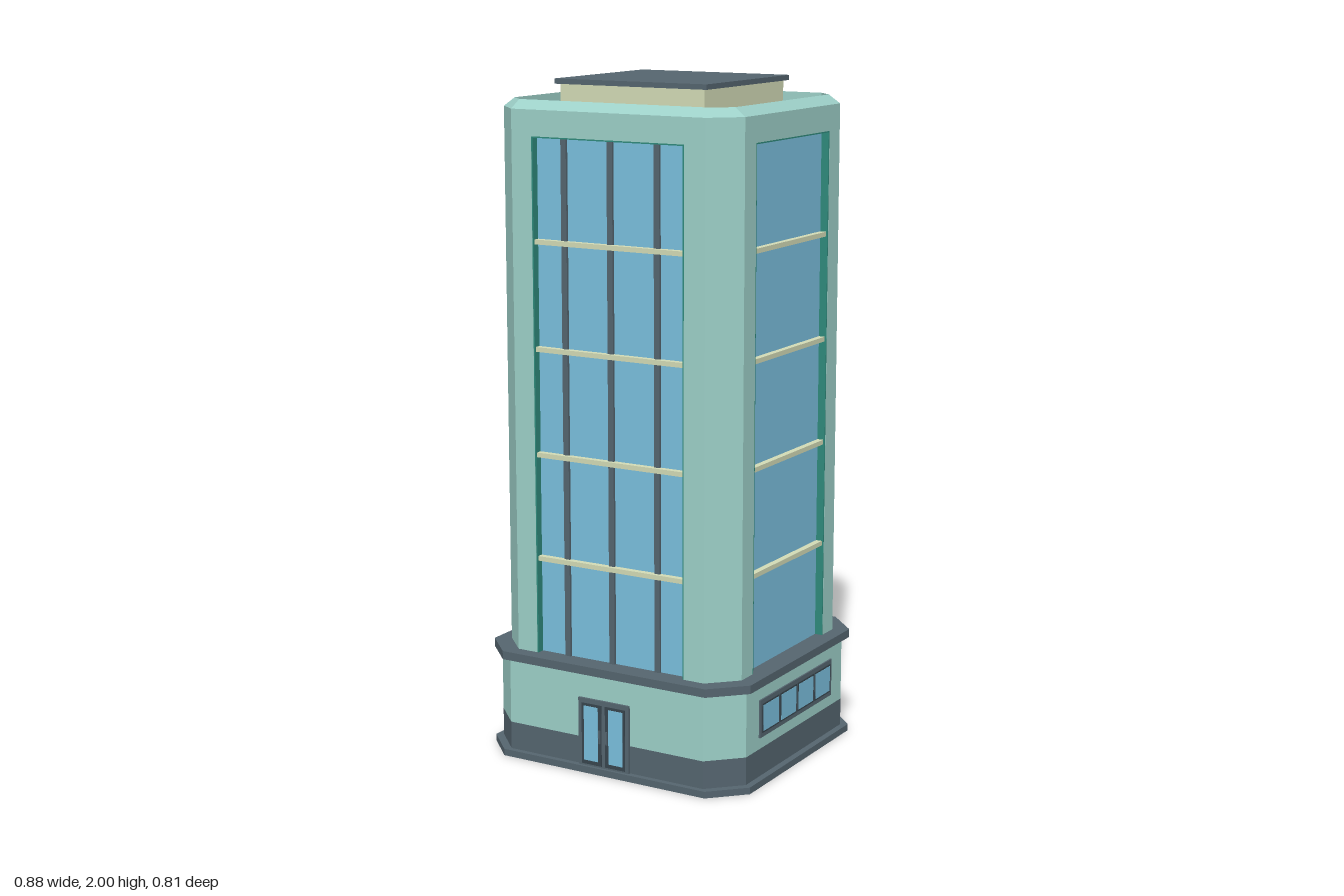
import * as THREE from 'three';

const mat = (name, color) => {
  const m = new THREE.MeshStandardMaterial({ color });
  m.name = name;
  return m;
};

// Chamfered rectangle, counter-clockwise from above; returns [x, z] pairs
const octagon = (hx, hz, c) => [
  [hx, hz - c], [hx, -hz + c], [hx - c, -hz], [-hx + c, -hz],
  [-hx, -hz + c], [-hx, hz - c], [-hx + c, hz], [hx - c, hz],
];

// Flat-sided loft through chamfered rings [hx, hz, chamfer, y]
function loft(rings, capTop = true, capBottom = true) {
  const pos = [];
  const pts = rings.map(([hx, hz, c, y]) => octagon(hx, hz, c).map(([x, z]) => [x, y, z]));
  const tri = (a, b, c) => pos.push(...a, ...b, ...c);
  for (let r = 0; r < pts.length - 1; r++) {
    const a = pts[r], b = pts[r + 1];
    for (let i = 0; i < 8; i++) {
      const j = (i + 1) % 8;
      tri(a[i], a[j], b[j]);
      tri(a[i], b[j], b[i]);
    }
  }
  const first = pts[0], last = pts[pts.length - 1];
  for (let i = 1; i < 7; i++) {
    if (capTop) tri(last[0], last[i], last[i + 1]);
    if (capBottom) tri(first[0], first[i + 1], first[i]);
  }
  const g = new THREE.BufferGeometry();
  g.setAttribute('position', new THREE.Float32BufferAttribute(pos, 3));
  g.computeVertexNormals();
  return g;
}

export function createModel() {
  const wall = mat('pale teal wall', 0x9dd0c8);
  const dark = mat('slate trim', 0x55656f);
  const glass = mat('blue glass', 0x7abfdd);
  const green = mat('deep green recess', 0x2f8a7c);
  const cream = mat('cream', 0xd3dbb6);
  const frameDark = mat('dark frame', 0x38454d);

  const model = new THREE.Group();
  model.name = 'officeTower';
  const add = (parent, name, geometry, material) => {
    const m = new THREE.Mesh(geometry, material);
    m.name = name;
    parent.add(m);
    return m;
  };
  // Box given by its centre and size
  const box = (parent, name, material, [w, h, d], [x, y, z]) =>
    add(parent, name, new THREE.BoxGeometry(w, h, d), material).position.set(x, y, z);
  const slab = (name, material, hx, hz, c, y0, y1) =>
    add(model, name, loft([[hx, hz, c, y0], [hx, hz, c, y1]]), material);

  // Podium
  slab('baseSlab', dark, 0.44, 0.407, 0.095, 0, 0.02);
  slab('plinthBand', dark, 0.42, 0.39, 0.09, 0.02, 0.103);
  slab('podiumWall', wall, 0.42, 0.39, 0.09, 0.103, 0.3);
  slab('podiumCornice', dark, 0.44, 0.407, 0.095, 0.3, 0.325);

  // Tower shaft with a shallow recess on each face
  const HX = 0.396, HZ = 0.364, C = 0.079, DEPTH = 0.03;
  const Y0 = 0.325, Y1 = 1.845, FW = 0.25, SW = 0.22;
  const quarter = [
    [HX - DEPTH, SW], [HX, SW], [HX, HZ - C], [HX - C, HZ], [FW, HZ], [FW, HZ - DEPTH],
  ];
  const outline = [];
  for (const [sx, sz] of [[1, 1], [-1, 1], [-1, -1], [1, -1]]) {
    const q = quarter.map(([x, z]) => new THREE.Vector2(x * sx, z * sz));
    outline.push(...(sx * sz > 0 ? q : q.reverse()));
  }
  const shaft = new THREE.ExtrudeGeometry(new THREE.Shape(outline), { depth: Y1 - Y0, bevelEnabled: false });
  shaft.rotateX(-Math.PI / 2).translate(0, Y0, 0);
  add(model, 'towerShaft', shaft, wall);

  // Crown with sloped parapet and sunken roof
  add(model, 'parapetCrown', loft([
    [HX, HZ, C, Y1], [HX, HZ, C, 1.92], [0.362, 0.329, 0.05, 1.945], [0.361, 0.328, 0.05, 1.88],
  ], false), wall);
  slab('roofDeck', dark, 0.361, 0.328, 0.05, 1.88, 1.892);

  // Roof house
  box(model, 'roofHouse', cream, [0.474, 0.097, 0.462], [0, 1.9365, 0]);
  box(model, 'roofHouseCap', dark, [0.5, 0.015, 0.482], [0, 1.9925, 0]);

  // Glazed recess, built facing +z then turned to its side
  function curtainWall(name, half, face, turn, verticals) {
    const g = new THREE.Group();
    g.name = name;
    const back = face - DEPTH, h = Y1 - Y0, mid = (Y0 + Y1) / 2;
    box(g, 'glazing', glass, [half * 2, h, 0.006], [0, mid, back + 0.003]);
    for (const s of [-1, 1])
      box(g, 'recessJamb', green, [0.004, h, DEPTH - 0.001], [s * (half - 0.002), mid, back + DEPTH / 2]);
    box(g, 'recessSoffit', green, [half * 2, 0.004, DEPTH - 0.001], [0, Y1 - 0.002, back + DEPTH / 2]);
    for (const x of verticals)
      box(g, 'verticalMullion', dark, [0.018, h, 0.012], [x, mid, back + 0.008]);
    for (let i = 0; i < 4; i++)
      box(g, 'floorBar', cream, [half * 2, 0.014, 0.022], [0, 0.612 + i * 0.311, back + 0.014]);
    g.rotation.y = turn;
    model.add(g);
  }
  const bars = [-0.153, 0, 0.153];
  curtainWall('frontCurtainWall', FW, HZ, 0, bars);
  curtainWall('backCurtainWall', FW, HZ, Math.PI, bars);
  curtainWall('leftCurtainWall', SW, HX, Math.PI / 2, []);
  curtainWall('rightCurtainWall', SW, HX, -Math.PI / 2, []);

  // Strip windows on both podium sides
  for (const s of [-1, 1]) {
    const g = new THREE.Group();
    g.name = s > 0 ? 'leftStripWindow' : 'rightStripWindow';
    box(g, 'windowFrame', dark, [0.45, 0.114, 0.006], [0, 0.195, 0.422]);
    for (let i = 0; i < 4; i++) {
      const x = (i - 1.5) * 0.109;
      box(g, 'paneEdge', frameDark, [0.102, 0.088, 0.003], [x, 0.195, 0.4252]);
      box(g, 'windowPane', glass, [0.092, 0.078, 0.003], [x, 0.195, 0.4262]);
    }
    g.rotation.y = s * Math.PI / 2;
    model.add(g);
  }

  // Double entrance door
  const door = new THREE.Group();
  door.name = 'entranceDoor';
  box(door, 'doorFrame', dark, [0.172, 0.205, 0.009], [0, 0.1225, 0.393]);
  for (const s of [-1, 1]) {
    box(door, 'doorLeafEdge', frameDark, [0.068, 0.186, 0.003], [s * 0.04, 0.118, 0.3972]);
    box(door, 'doorPane', glass, [0.048, 0.166, 0.003], [s * 0.042, 0.12, 0.3982]);
    box(door, 'doorHandle', dark, [0.005, 0.04, 0.005], [s * 0.012, 0.115, 0.4]);
  }
  model.add(door);

  return model;
}
